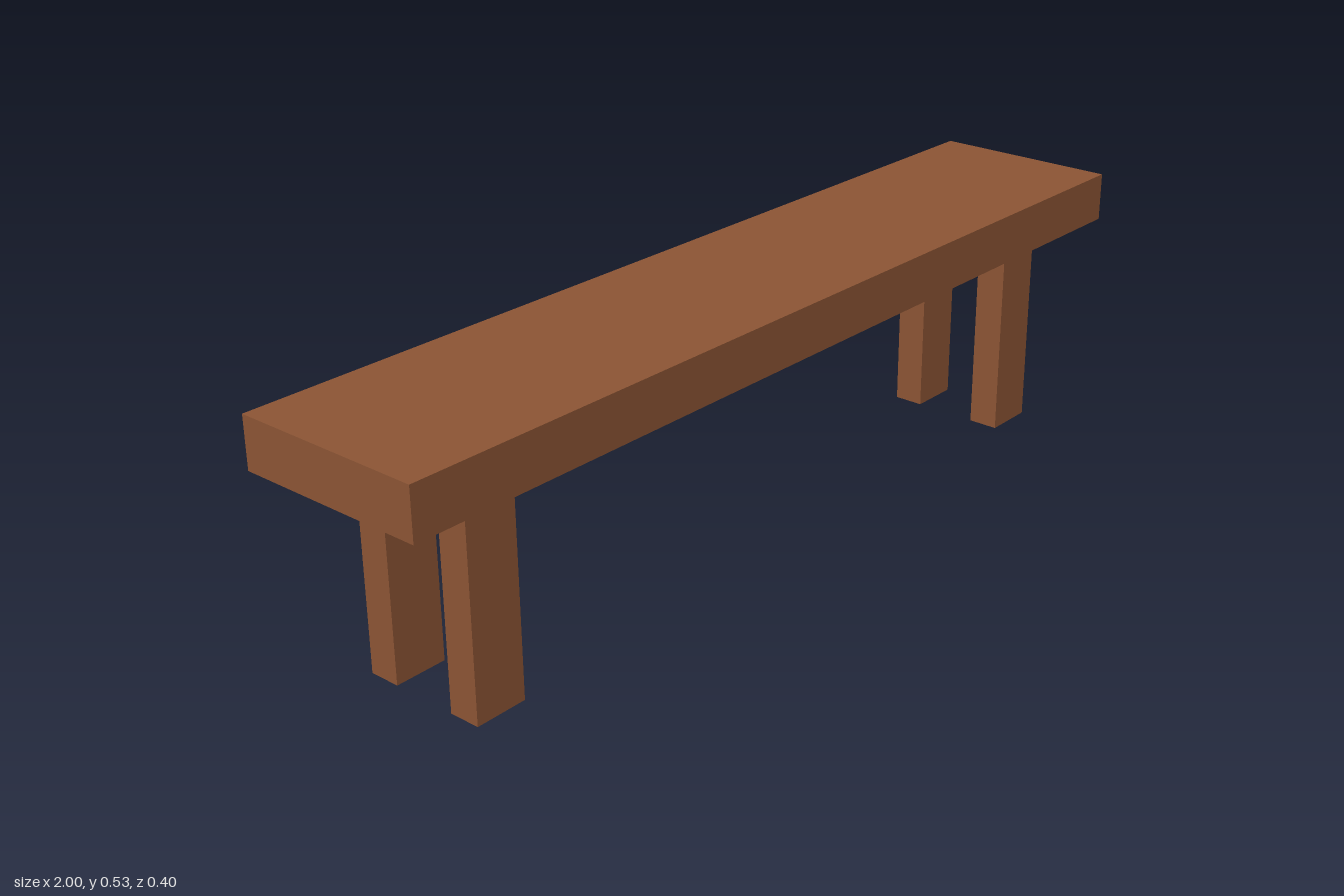
import * as THREE from 'three';

export function createModel() {
  const bench = new THREE.Group();
  bench.name = 'bench';
  const wood = new THREE.MeshStandardMaterial({ color: 0x8b5434 });

  const legHeight = 0.432;
  const seatThickness = 0.102;

  // Plank seat
  const seat = new THREE.Mesh(new THREE.BoxGeometry(2, seatThickness, 0.4), wood);
  seat.name = 'seat';
  seat.position.y = legHeight + seatThickness / 2;
  bench.add(seat);

  // Four straight legs, mirrored left/right and front/back
  const legGeometry = new THREE.BoxGeometry(0.11, legHeight, 0.065);
  for (const [side, sx] of [['Left', 1], ['Right', -1]]) {
    for (const [end, sz] of [['front', 1], ['back', -1]]) {
      const leg = new THREE.Mesh(legGeometry, wood);
      leg.name = `${end}${side}Leg`;
      leg.position.set(sx * 0.782, legHeight / 2, sz * 0.101);
      bench.add(leg);
    }
  }

  return bench;
}
